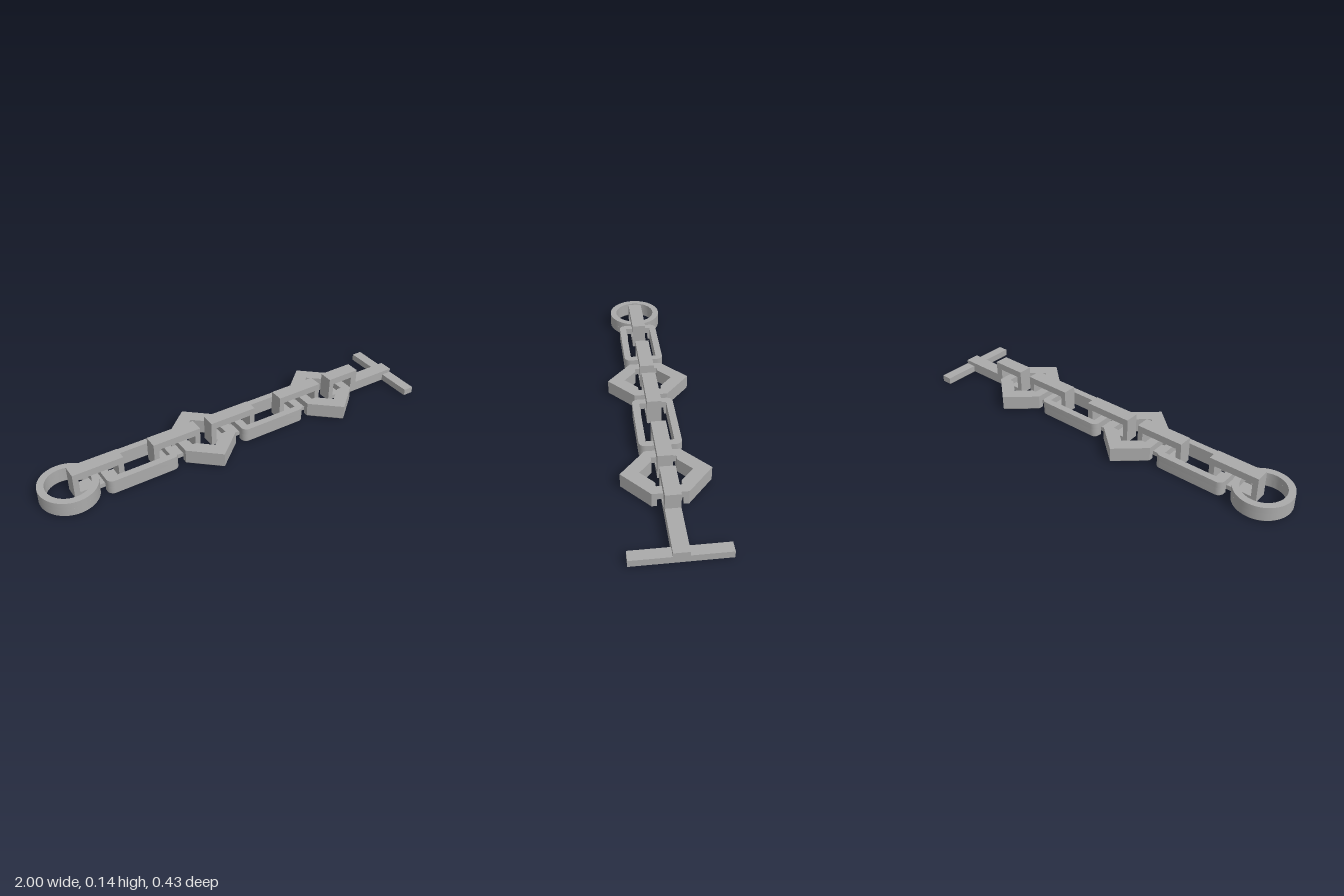
import * as THREE from 'three';
import { toCreasedNormals } from 'three/addons/utils/BufferGeometryUtils.js';

const metal = new THREE.MeshStandardMaterial({ color: 0xaaaaaa });
metal.name = 'plain grey';

const CHAMFER = 0.008; // bottom edge chamfer
const BRIDGE = 0.046;  // underside of the bridges at the link ends
const TOP = 0.078;     // top of the flat links
const GAP = 0.057;     // half width of the passage under a bridge
const HALF = 0.035;    // half width of the upright links

const toShape = (pts) => new THREE.Shape(pts.map(([x, y]) => new THREE.Vector2(x, y)));

function addMesh(group, name, geometry) {
  const mesh = new THREE.Mesh(toCreasedNormals(geometry, 0.5), metal);
  mesh.name = name;
  group.add(mesh);
  return mesh;
}

// Plan outline raised from y0 to y1
function slab(group, name, pts, y0, y1, hole) {
  const shape = toShape(pts);
  if (hole) shape.holes.push(toShape(hole));
  const geo = new THREE.ExtrudeGeometry(shape, { depth: y1 - y0, bevelEnabled: false });
  geo.rotateX(-Math.PI / 2).translate(0, y0, 0);
  return addMesh(group, name, geo);
}

// Slab standing on the ground with a chamfered lower edge
function footedSlab(group, name, pts, top) {
  slab(group, name, pts, CHAMFER, top);
  const geo = new THREE.ExtrudeGeometry(toShape(pts), {
    depth: 0.001, bevelEnabled: true, bevelSegments: 1,
    bevelThickness: CHAMFER, bevelSize: CHAMFER, bevelOffset: -CHAMFER,
  });
  geo.rotateX(-Math.PI / 2).translate(0, CHAMFER, 0);
  addMesh(group, name + 'Foot', geo);
}

const rect = (x0, x1, z) => [[x0, -z], [x1, -z], [x1, z], [x0, z]];
const flip = (pts) => pts.map(([x, z]) => [x, -z]);

function arc(r, a0, a1, n, cx = 0, cz = 0) {
  return Array.from({ length: n + 1 }, (_, i) => {
    const a = a0 + ((a1 - a0) * i) / n;
    return [cx + r * Math.cos(a), cz + r * Math.sin(a)];
  });
}

// Flat link: two mirrored side rails joined by bridges at both ends
function flatLink(name, x, rim, inner) {
  const g = new THREE.Group();
  g.name = name;
  const rail = [...rim, ...inner];
  footedSlab(g, 'rail', rail, BRIDGE);
  footedSlab(g, 'rail', flip(rail), BRIDGE);
  slab(g, 'bridgeRing', [...rim, ...flip(rim).reverse()], BRIDGE, TOP,
    [...inner, ...flip(inner).reverse()]);
  g.position.x = x;
  return g;
}

function oblongLink(x) {
  const r = 0.03;
  const rim = [[0.18, GAP], ...arc(r, 0, Math.PI / 2, 6, 0.15, 0.07),
    ...arc(r, Math.PI / 2, Math.PI, 6, -0.15, 0.07), [-0.18, GAP]];
  const inner = [[-0.145, GAP], [-0.145, 0.066], [0.145, 0.066], [0.145, GAP]];
  return flatLink('oblongLink', x, rim, inner);
}

function hexLink(x) {
  const rim = [[0.14, GAP], [0.14, 0.081], [0, 0.203], [-0.14, 0.081], [-0.14, GAP]];
  const inner = [[-0.094, GAP], [-0.07, GAP], [0, 0.118], [0.07, GAP], [0.094, GAP]];
  return flatLink('hexLink', x, rim, inner);
}

// Round end ring with one bridge on its chain side
function endRing(x) {
  const g = new THREE.Group();
  g.name = 'endRing';
  const R = 0.138, r = 0.105, T = 2 * Math.PI;
  const a = Math.asin(GAP / R), b = Math.asin(GAP / r);
  footedSlab(g, 'ringBase', [...arc(R, a, T - a, 56), ...arc(r, T - b, b, 56)], BRIDGE);
  slab(g, 'ringTop', arc(R, 0, T, 64).slice(0, -1), BRIDGE, TOP, arc(r, 0, T, 64).slice(0, -1));
  g.position.x = x;
  return g;
}

// Upright rectangular link, optionally with a tail running to x = tail
function uprightLink(x0, x1, endWall, tail) {
  const g = new THREE.Group();
  g.name = tail ? 'tailLink' : 'uprightLink';
  const outline = [[x0, CHAMFER], [tail || x1, CHAMFER]];
  if (tail) outline.push([tail, 0.061], [x1, 0.061]);
  outline.push([x1, 0.135], [x0, 0.135]);
  const shape = toShape(outline);
  const a = x0 + 0.027, b = x1 - endWall;
  shape.holes.push(toShape([[a, 0.03], [a, 0.1], [b, 0.1], [b, 0.03]]));
  const geo = new THREE.ExtrudeGeometry(shape, { depth: 2 * HALF, bevelEnabled: false });
  addMesh(g, 'frame', geo.translate(0, 0, -HALF));
  footedSlab(g, 'sole', rect(x0, tail || x1, HALF), 0.02);
  return g;
}

export function createModel() {
  const model = new THREE.Group();
  model.name = 'chainBracelet';

  model.add(endRing(-0.862));
  for (const x of [-0.53, 0.185]) model.add(oblongLink(x));
  for (const x of [-0.17, 0.54]) model.add(hexLink(x));
  for (const x of [-0.85, -0.45, -0.14, 0.26]) model.add(uprightLink(x, x + 0.247, 0.027));
  model.add(uprightLink(0.575, 0.755, 0.035, 1));

  // Toggle bar that passes through the end ring
  const toggle = new THREE.Group();
  toggle.name = 'toggleBar';
  footedSlab(toggle, 'bar', rect(0.947, 1, 0.213), 0.041);
  model.add(toggle);
  return model;
}
